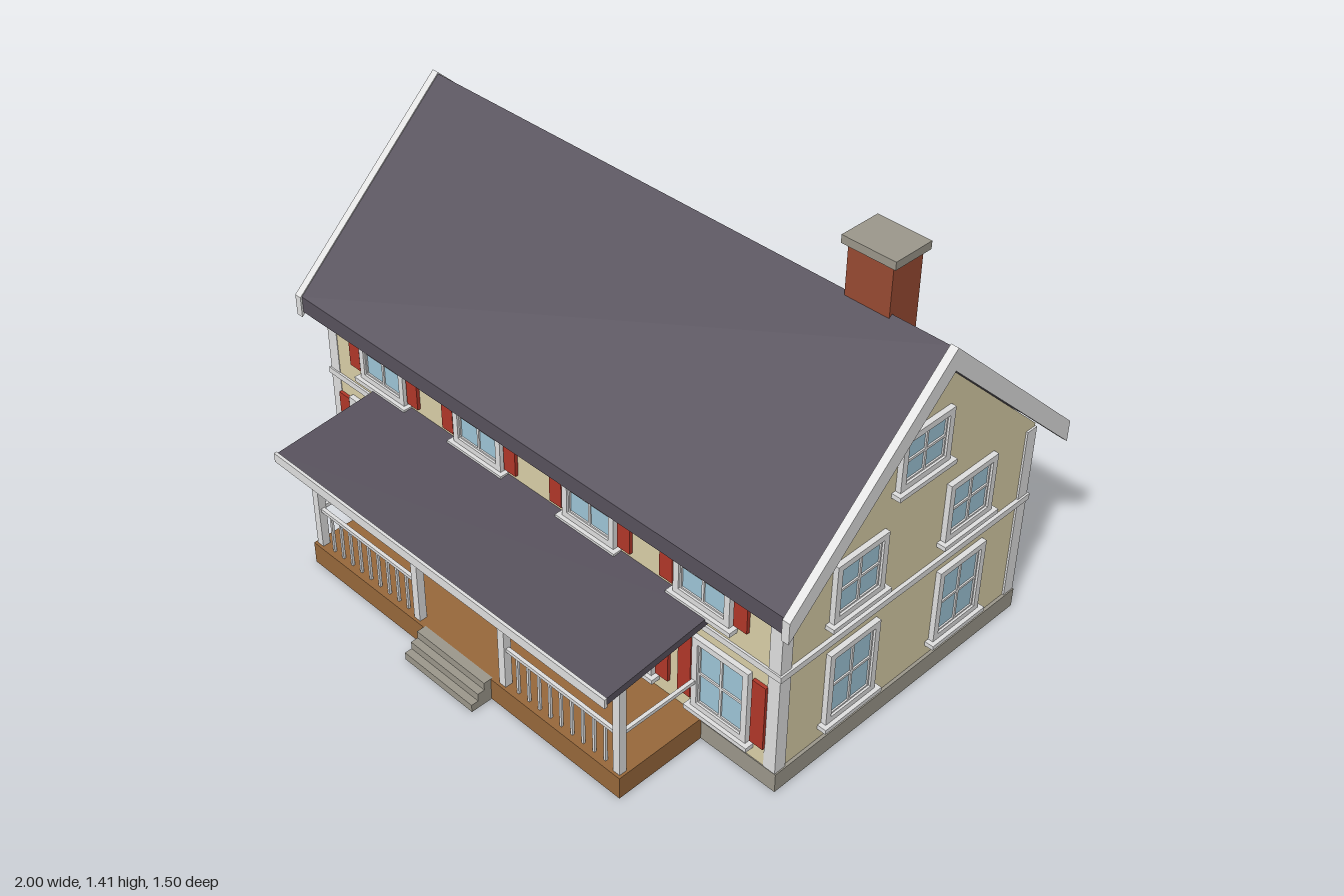
import * as THREE from 'three';

const mat = (name, color) => {
  const m = new THREE.MeshStandardMaterial({ color });
  m.name = name;
  return m;
};

export function createModel() {
  const wall = mat('cream siding', 0xdcd1aa), trim = mat('white trim', 0xe2e2e2);
  const roof = mat('slate roof', 0x58525d), red = mat('red paint', 0xb3382a);
  const glass = mat('window glass', 0xa0c8da), stone = mat('grey stone', 0x9d998d);
  const wood = mat('deck wood', 0x99693c), brick = mat('chimney brick', 0x9a4b33);
  const metal = mat('metal', 0x8a8a86);

  const house = new THREE.Group();
  house.name = 'house';
  const add = (name, geo, material, parent = house) => {
    const m = new THREE.Mesh(geo, material);
    m.name = name;
    parent.add(m);
    return m;
  };
  // box given by its limits on each axis
  const box = (name, material, x0, x1, y0, y1, z0, z1, parent = house) => {
    const m = add(name, new THREE.BoxGeometry(x1 - x0, y1 - y0, z1 - z0), material, parent);
    m.position.set((x0 + x1) / 2, (y0 + y1) / 2, (z0 + z1) / 2);
    return m;
  };
  // side profile of [z, y] points stretched along x
  const prism = (name, material, pts, x0, x1) => {
    const shape = new THREE.Shape(pts.map(([z, y]) => new THREE.Vector2(-z, y)));
    const geo = new THREE.ExtrudeGeometry(shape, { depth: x1 - x0, bevelEnabled: false });
    geo.rotateY(Math.PI / 2).translate(x0, 0, 0);
    return add(name, geo, material);
  };

  const X = 0.932, F = 0.35, B = -0.69, C = -0.17, SLOPE = 0.938;

  // Foundation and walls
  box('foundation', stone, -0.938, 0.938, 0, 0.066, B - 0.003, F + 0.003);
  prism('walls', wall, [[F, 0.06], [F, 0.685], [C, 1.174], [B, 0.685], [B, 0.06]], -X + 0.004, X - 0.004);

  // Belt course and corner boards
  const e = 0.007;
  box('beltFront', trim, -X - e, X + e, 0.412, 0.433, F - 0.01, F + e);
  box('beltBack', trim, -X - e, X + e, 0.412, 0.433, B - e, B + 0.01);
  for (const s of [-1, 1]) {
    const belt = box('beltSide', trim, -0.008, 0.008, 0.412, 0.433, B - e, F + e);
    belt.position.x = s * X;
    for (const [z, dir] of [[F, 1], [B, -1]]) {
      const c = box('cornerBoard', trim, -0.021, 0.021, 0.066, 0.675, -0.021, 0.021);
      c.position.x = s * (X - 0.019);
      c.position.z = z - dir * 0.019;
    }
  }

  // Roof slabs and gable rakes
  const chevron = (top, half, thick) => {
    const low = top - SLOPE * half;
    return [[C + half, low - thick], [C + half, low], [C, top], [C - half, low],
      [C - half, low - thick], [C, top - thick]];
  };
  prism('roof', roof, chevron(1.238, 0.574, 0.055), -0.976, 0.976);
  prism('rakeRight', trim, chevron(1.243, 0.58, 0.071), -1, -0.975);
  prism('rakeLeft', trim, chevron(1.243, 0.58, 0.071), 0.975, 1);

  // Chimney
  box('chimney', brick, 0.64, 0.788, 1.05, 1.388, -0.276, -0.16);
  box('chimneyCap', stone, 0.625, 0.802, 1.385, 1.41, -0.289, -0.149);

  // Windows, built facing +z and centred on the opening
  const addWindow = (x, y, z, turn, h, shutters) => {
    const g = new THREE.Group();
    g.name = 'window';
    const w = 0.204, b = 0.02;
    const ring = (ow, oh, t, depth) => {
      const rect = (P, a, c) => new P([[-a, -c], [a, -c], [a, c], [-a, c]].map((p) => new THREE.Vector2(...p)));
      const s = rect(THREE.Shape, ow / 2, oh / 2);
      s.holes.push(rect(THREE.Path, ow / 2 - t, oh / 2 - t));
      return new THREE.ExtrudeGeometry(s, { depth, bevelEnabled: false });
    };
    add('windowCasing', ring(w, h, b, 0.017), trim, g);
    add('windowSash', ring(w - 2 * b, h - 2 * b, 0.005, 0.01), trim, g);
    box('windowPane', glass, -w / 2 + b, w / 2 - b, -h / 2 + b, h / 2 - b, 0, 0.005, g);
    box('mullion', trim, -0.004, 0.004, -h / 2 + b, h / 2 - b, 0.003, 0.01, g);
    box('muntin', trim, -w / 2 + b, w / 2 - b, -0.004, 0.004, 0.003, 0.01, g);
    box('windowSill', trim, -0.117, 0.117, -h / 2 - 0.014, -h / 2 + 0.001, 0, 0.03, g);
    if (shutters) {
      for (const s of [-1, 1]) {
        box('shutter', red, s * 0.135 - 0.024, s * 0.135 + 0.024, -h / 2 + 0.015, h / 2 - 0.015, 0, 0.011, g);
      }
    }
    g.position.set(x, y, z);
    g.rotation.y = turn;
    house.add(g);
  };
  const LOW = [0.249, 0.258], HIGH = [0.592, 0.2];
  for (const x of [-0.735, -0.38, 0.38, 0.735]) addWindow(x, LOW[0], F, 0, LOW[1], true);
  for (const x of [-0.66, -0.23, 0.23, 0.66]) addWindow(x, HIGH[0], F, 0, HIGH[1], true);
  for (const [y, h] of [LOW, HIGH]) {
    for (const x of [-0.58, 0, 0.58]) addWindow(x, y, B, Math.PI, h, false);
    for (const s of [-1, 1]) {
      for (const dz of [-0.23, 0.23]) addWindow(s * (X - 0.004), y, C + dz, s * Math.PI / 2, h, false);
    }
  }
  for (const s of [-1, 1]) addWindow(s * (X - 0.004), 0.89, C, s * Math.PI / 2, 0.176, false);

  // Front door
  box('door', red, -0.092, 0.092, 0.077, 0.425, F, F + 0.009);
  for (const s of [-1, 1]) box('doorJamb', trim, s * 0.104 - 0.012, s * 0.104 + 0.012, 0.077, 0.445, F, F + 0.016);
  box('doorHead', trim, -0.116, 0.116, 0.423, 0.447, F, F + 0.016);
  add('doorKnob', new THREE.SphereGeometry(0.008, 12, 8), metal).position.set(0.057, 0.248, F + 0.018);
  box('wallLamp', wood, -0.172, -0.148, 0.385, 0.43, F, F + 0.03);

  // Porch deck, steps and roof
  box('porchDeck', wood, -0.663, 0.663, 0, 0.077, F, 0.667);
  for (let i = 0; i < 3; i++) {
    box('step', stone, -0.146, 0.146, 0, 0.026 * (i + 1), 0.66, 0.741 - i * 0.0245);
  }
  prism('porchRoof', roof, [[0.741, 0.425], [0.741, 0.449], [F, 0.488], [F, 0.464]], -0.69, 0.69);
  box('porchFascia', trim, -0.693, 0.693, 0.421, 0.453, 0.738, 0.748);

  // Posts, railings and balusters
  const PZ = 0.645;
  for (const s of [-1, 1]) {
    for (const x of [0.642, 0.186]) {
      box('porchPost', trim, s * x - 0.013, s * x + 0.013, 0.077, 0.437, PZ - 0.013, PZ + 0.013);
    }
    const mid = s * 0.414;
    box('frontRail', trim, mid - 0.22, mid + 0.22, 0.209, 0.221, PZ - 0.006, PZ + 0.006);
    box('sideRail', trim, s * 0.642 - 0.006, s * 0.642 + 0.006, 0.209, 0.221, F, PZ);
    for (let i = 0; i < 9; i++) {
      const x = mid + (i - 4) * 0.0435;
      box('baluster', trim, x - 0.004, x + 0.004, 0.077, 0.212, PZ - 0.004, PZ + 0.004);
    }
  }
  return house;
}
